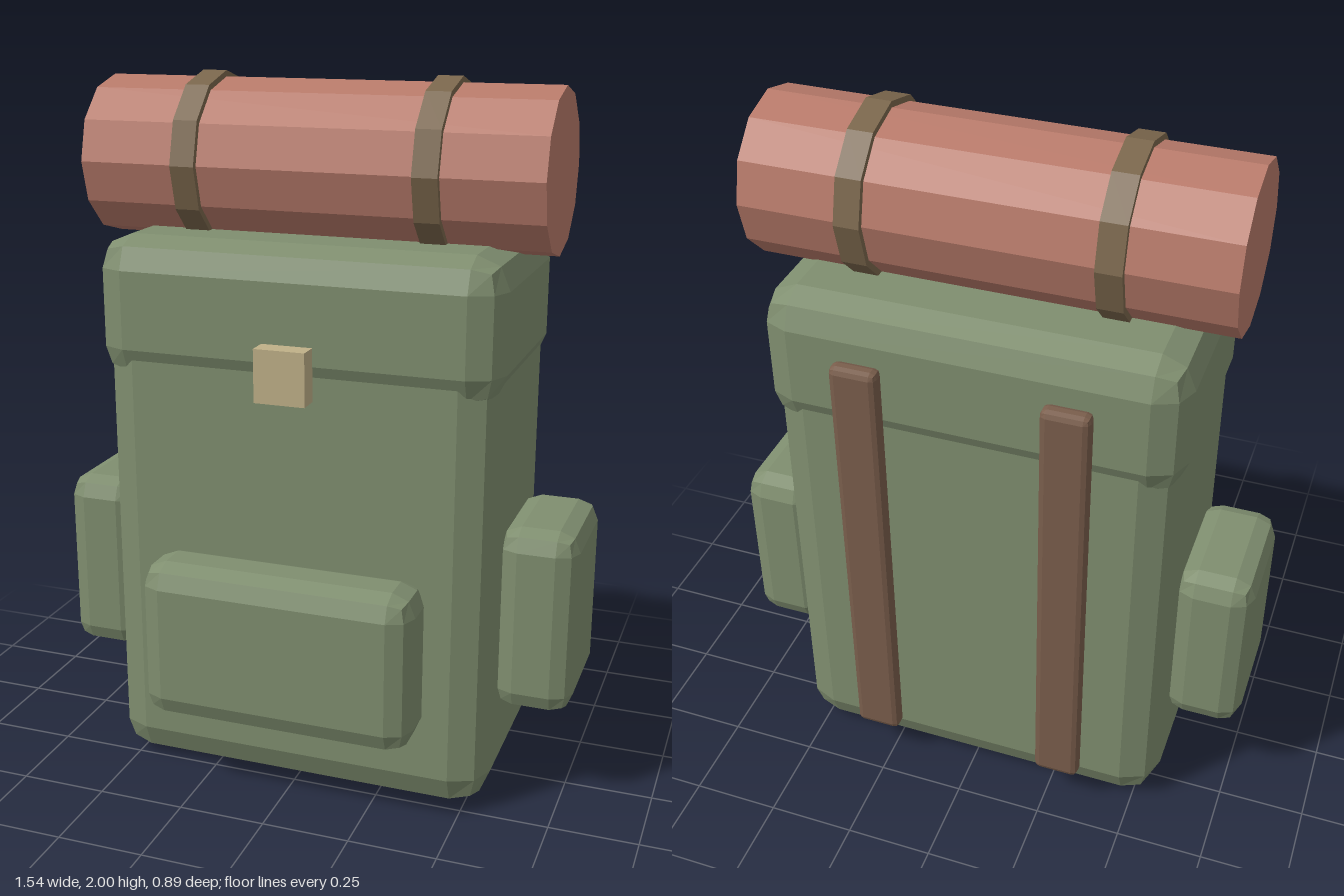
import * as THREE from 'three';
import { RoundedBoxGeometry } from 'three/addons/geometries/RoundedBoxGeometry.js';

const material = (name, color) => {
  const m = new THREE.MeshStandardMaterial({ color, flatShading: true });
  m.name = name;
  return m;
};

export function createModel() {
  const canvas = material('green canvas', 0x7f8e6f);
  const blanket = material('clay red blanket', 0xb87a6a);
  const webbing = material('khaki brown webbing', 0x7a664c);
  const leather = material('brown leather', 0x7a5e4c);
  const brass = material('pale brass', 0xbfb088);

  const pack = new THREE.Group();
  pack.name = 'backpack';
  const midZ = -0.052;

  const add = (name, geometry, mat, x, y, z) => {
    const mesh = new THREE.Mesh(geometry, mat);
    mesh.name = name;
    mesh.position.set(x, y, z);
    pack.add(mesh);
    return mesh;
  };

  // Box with coarse two-facet rounded edges
  const softBox = (w, h, d, r) => {
    const g = new RoundedBoxGeometry(w, h, d, 1, r);
    g.computeVertexNormals();
    return g;
  };

  // Twelve-sided cylinder lying along x
  const lyingCylinder = (radius, length) =>
    new THREE.CylinderGeometry(radius, radius, length, 12).rotateZ(Math.PI / 2);

  // Main bag and its overhanging lid
  add('body', softBox(1.13, 1.5, 0.654, 0.1), canvas, 0, 0.75, midZ);
  add('lid', softBox(1.152, 0.4, 0.68, 0.09), canvas, 0, 1.375, midZ);

  // Front pocket and lid clasp
  add('frontPocket', softBox(0.788, 0.46, 0.21, 0.065), canvas, 0, 0.465, 0.338);
  add('clasp', new THREE.BoxGeometry(0.144, 0.148, 0.062), brass, 0, 1.243, 0.316);

  // Bedroll on top
  add('bedroll', lyingCylinder(0.223, 1.3), blanket, 0, 1.76, midZ);

  // Mirrored side pockets, shoulder straps and bedroll bands
  for (const [side, s] of [['left', 1], ['right', -1]]) {
    add(side + 'Pocket', softBox(0.222, 0.537, 0.388, 0.058), canvas, s * 0.661, 0.544, midZ);
    add(side + 'ShoulderStrap', softBox(0.133, 1.312, 0.053, 0.018), leather, s * 0.284, 0.778, -0.4165);
    add(side + 'BedrollBand', lyingCylinder(0.24, 0.07), webbing, s * 0.339, 1.76, midZ);
  }

  return pack;
}
